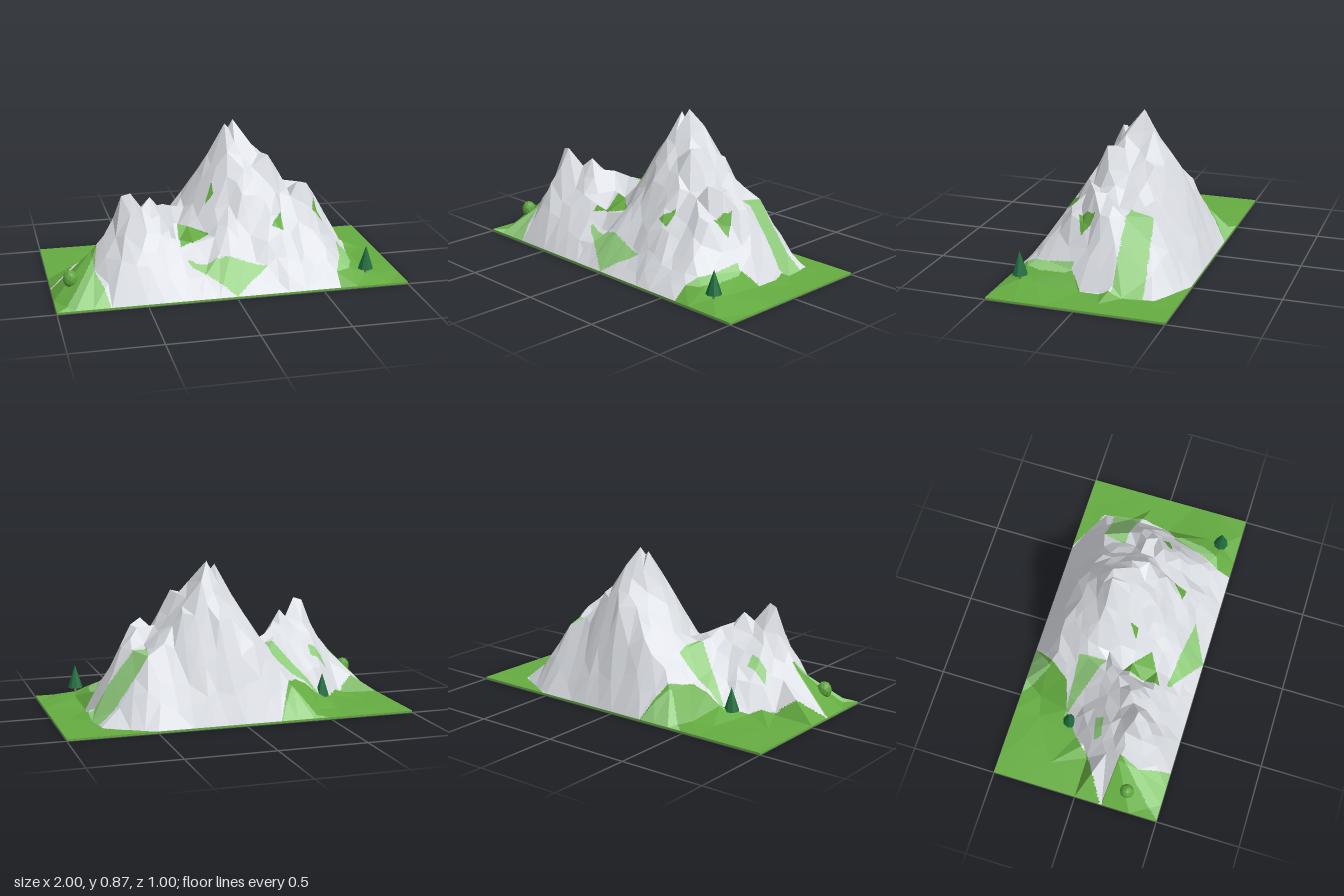
import * as THREE from 'three';

const mat = (name, color, extra = {}) => Object.assign(new THREE.MeshStandardMaterial({ color, ...extra }), { name });

// Small seeded random generator
function seeded(s) {
  return () => ((s = (s * 16807) % 2147483647) / 2147483647);
}

// Landmarks as x, z, height
const mainMountain = [
  .11, -.1, .87, .06, -.09, .85, .085, -.09, .82, .16, -.17, .77, .2, -.02, .74, .23, .02, .68, .28, .06, .69,
  .35, .03, .58, .4, .06, .48, .45, .1, .53, .52, .05, .5, .6, -.06, .39, .05, .02, .71, -.04, -.1, .67,
  -.1, -.12, .57, -.2, -.1, .41, -.25, -.03, .36, .1, -.31, .56, .15, -.25, .64, .2, -.38, .32,
  -.1, -.33, .42, -.25, -.33, .27, .4, -.25, .44, .48, -.15, .39, .5, -.28, .38, .13, .1, .62, .1, .18, .5,
  -.07, .08, .49, -.11, .2, .28, 0, .25, .34, .3, .3, .3, .55, .25, .25, .57, .1, .33,
];
const leftMountain = [
  -.55, .25, .575, -.6, .24, .56, -.48, .2, .47, -.43, .17, .52, -.38, .2, .42, -.7, .22, .33,
  -.6, .35, .37, -.55, .41, .21, -.62, .03, .27, -.28, .2, .24, -.28, .33, .22, -.26, -.14, .35, -.34, .07, .44,
  -.26, .07, .29,
];
const foothills = [
  .2, .39, .14, .7, .39, .08, .78, .39, .05, .72, .11, .11, .66, .28, .12, .8, .3, .045, .79, .05, .02,
  .6, .42, .08, .8, -.2, .02, .78, -.36, .02, .64, -.44, .015, .57, -.472, .014, .71, -.405, .015,
  -.77, .32, .17, -.77, .2, .24,
  -.32, -.38, .16, -.66, -.1, .03, -.53, -.2, .08, -.76, 0, .02, -.6, -.35, .02, -.85, -.2, .02,
  -.75, -.4, .02, -.48, -.38, .03, .9, -.1, .015, .88, -.35, .015,
];

// Ground regions as x, z outlines
const meadows = [
  [-.28, .33, .2, .39, 0, .5],
  [-1, .51, -.74, .21, -.77, .32, -.7, .51],
  [-.5, -.51, -.2, -.51, -.32, -.36],
  [-.57, -.2, -.25, -.2, -.25, -.03],
  [.47, -.14, .5, -.28, .79, -.31, .81, -.14],
  [-.68, .02, -.57, 0, -.57, .05, -.66, .06],
  [.6, .42, .68, .39, .72, .3, .74, .12, .69, .11, .66, .28],
];
const hollows = [
  [-.28, .3, -.26, .07, -.1, .2],
  [.53, .14, .57, .03, .61, .1],
  [.25, .28, .32, .21, .32, .29],
  [-.1, .1, -.05, .05, -.05, .1],
];
const rockOutline = [
  -.7, .51, -.77, .32, -.74, .2, -1.01, .16, -.75, 0, -.66, -.1, -.53, -.2, -.38, -.24, -.3, -.35,
  -.2, -.51, .5, -.51, .78, -.37, .81, -.1, .79, .04, .72, .11, .66, .28, .6, .42, .6, .51,
];

function inside(poly, x, z) {
  let hit = false;
  for (let i = 0, j = poly.length - 2; i < poly.length; j = i, i += 2) {
    const [xi, zi, xj, zj] = [poly[i], poly[i + 1], poly[j], poly[j + 1]];
    if (zi > z !== zj > z && x < ((xj - xi) * (z - zi)) / (zj - zi) + xi) hit = !hit;
  }
  return hit;
}

function surfaceAt([x, z]) {
  if (meadows.some((p) => inside(p, x, z))) return 'meadow';
  if (hollows.some((p) => inside(p, x, z))) return 'grass';
  return inside(rockOutline, x, z) ? 'rock' : 'grass';
}

// Delaunay triangulation in plan, wound to face up
function triangulate(points) {
  const pts = [...points, [-60, -50, 0], [60, -50, 0], [0, 70, 0]];
  const n = points.length;
  const circle = (a, b, c) => {
    const [ax, az] = pts[a], bx = pts[b][0] - ax, bz = pts[b][1] - az, cx = pts[c][0] - ax, cz = pts[c][1] - az;
    const d = 2 * (bx * cz - bz * cx), b2 = bx * bx + bz * bz, c2 = cx * cx + cz * cz;
    const ux = (cz * b2 - bz * c2) / d, uz = (bx * c2 - cx * b2) / d;
    return { v: d < 0 ? [a, b, c] : [a, c, b], x: ax + ux, z: az + uz, r: ux * ux + uz * uz, ok: Math.abs(d) > 1e-12 };
  };
  let tris = [circle(n, n + 1, n + 2)];
  for (let i = 0; i < n; i++) {
    const edges = new Map();
    tris = tris.filter((t) => {
      if ((pts[i][0] - t.x) ** 2 + (pts[i][1] - t.z) ** 2 >= t.r - 1e-12) return true;
      for (let k = 0; k < 3; k++) {
        const a = t.v[k], b = t.v[(k + 1) % 3], key = Math.min(a, b) + '_' + Math.max(a, b);
        if (edges.has(key)) edges.delete(key);
        else edges.set(key, [a, b]);
      }
      return false;
    });
    for (const [a, b] of edges.values()) {
      const t = circle(a, b, i);
      if (t.ok) tris.push(t);
    }
  }
  return tris.filter((t) => t.v.every((k) => k < n)).map((t) => t.v.map((k) => pts[k]));
}

function buildTerrain() {
  const rand = seeded(4217);
  const points = [];
  for (let i = 0; i < 20; i++) points.push([-1 + i / 10, -.5, .012], [1 - i / 10, .5, .012]);
  for (let i = 0; i < 6; i++) points.push([-1, .5 - i / 6, .012], [1, -.5 + i / 6, .012]);
  points.splice(0, points.length, ...new Map(points.map((p) => [p[0].toFixed(3) + p[1].toFixed(3), p])).values());
  for (const list of [mainMountain, leftMountain, foothills])
    for (let i = 0; i < list.length; i += 3) points.push(list.slice(i, i + 3));

  // Broad shape, then extra crags scattered over it
  const broad = triangulate(points);
  const heightAt = (x, z) => {
    for (const [a, b, c] of broad) {
      const d = (b[1] - c[1]) * (a[0] - c[0]) + (c[0] - b[0]) * (a[1] - c[1]);
      const u = ((b[1] - c[1]) * (x - c[0]) + (c[0] - b[0]) * (z - c[1])) / d;
      const v = ((c[1] - a[1]) * (x - c[0]) + (a[0] - c[0]) * (z - c[1])) / d;
      if (u >= -1e-6 && v >= -1e-6 && u + v <= 1 + 1e-6) return u * a[2] + v * b[2] + (1 - u - v) * c[2];
    }
    return .012;
  };
  const dense = [...points];
  for (let i = 0; i < 2500; i++) {
    const x = (rand() * 2 - 1) * .96, z = (rand() * 2 - 1) * .46, bump = rand() - .5;
    if (surfaceAt([x, z]) !== 'rock' || x < -.74) continue;
    if (dense.some((p) => Math.hypot(p[0] - x, p[1] - z) < .052)) continue;
    const y = heightAt(x, z);
    dense.push([x, z, y + bump * Math.min(z < -.1 || x < -.3 ? .025 : .06, y * .22)]);
  }

  // Split facets only where the ground cover changes
  const out = { rock: [], grass: [], meadow: [] };
  const mid = (a, b) => a.map((v, i) => (v + b[i]) / 2);
  const cover = (a, b, c, depth) => {
    const ab = mid(a, b), bc = mid(b, c), ca = mid(c, a);
    const centre = a.map((v, i) => (v + b[i] + c[i]) / 3);
    const kind = surfaceAt(centre);
    if (depth === 0 || (depth < 4 && [a, b, c, ab, bc, ca].every((p) => surfaceAt(p) === kind))) {
      for (const p of [a, b, c]) out[kind].push(p[0], p[2], p[1]);
      return;
    }
    for (const t of [[a, ab, ca], [ab, b, bc], [ca, bc, c], [ab, bc, ca]]) cover(...t, depth - 1);
  };
  for (const t of triangulate(dense)) cover(...t, 4);
  return out;
}

export function createModel() {
  const model = new THREE.Group();
  const mats = {
    rock: mat('pale rock', 0xdadde2, { side: THREE.DoubleSide }),
    grass: mat('grass green', 0x65ac41, { side: THREE.DoubleSide }),
    meadow: mat('light meadow green', 0x91cd7d, { side: THREE.DoubleSide }),
    pine: mat('pine green', 0x1f6e3e, { flatShading: true }),
    trunk: mat('bark', 0x857a6c),
    bush: mat('bush green', 0x5fa53e, { flatShading: true }),
  };
  const add = (name, geo, material, x, y, z, parent = model) => {
    const mesh = new THREE.Mesh(geo, material);
    mesh.name = name;
    mesh.position.set(x, y, z);
    parent.add(mesh);
    return mesh;
  };

  // Terrain surfaces and the slab beneath them
  const names = { rock: 'mountainRock', grass: 'grassGround', meadow: 'meadowPatches' };
  for (const [kind, list] of Object.entries(buildTerrain())) {
    const geo = new THREE.BufferGeometry();
    geo.setAttribute('position', new THREE.Float32BufferAttribute(list, 3));
    geo.computeVertexNormals();
    add(names[kind], geo, mats[kind], 0, 0, 0);
  }
  add('baseSlab', new THREE.BoxGeometry(2, .011, 1), mats.grass, 0, .0055, 0);

  // Pine trees
  for (const [x, y, z] of [[.78, .075, .39], [-.58, .052, -.16]]) {
    const tree = new THREE.Group();
    tree.name = 'pineTree';
    tree.position.set(x, y, z);
    add('pineCrown', new THREE.ConeGeometry(.044, .135, 8), mats.pine, 0, .0675, 0, tree);
    add('pineTrunk', new THREE.CylinderGeometry(.008, .008, .05, 6), mats.trunk, 0, -.025, 0, tree);
    model.add(tree);
  }

  // Round bush
  add('bushCrown', new THREE.IcosahedronGeometry(.042, 1), mats.bush, -.9, .118, .29).scale.y = 1.2;
  add('bushTrunk', new THREE.CylinderGeometry(.007, .007, .06, 6), mats.trunk, -.9, .06, .29);
  return model;
}
